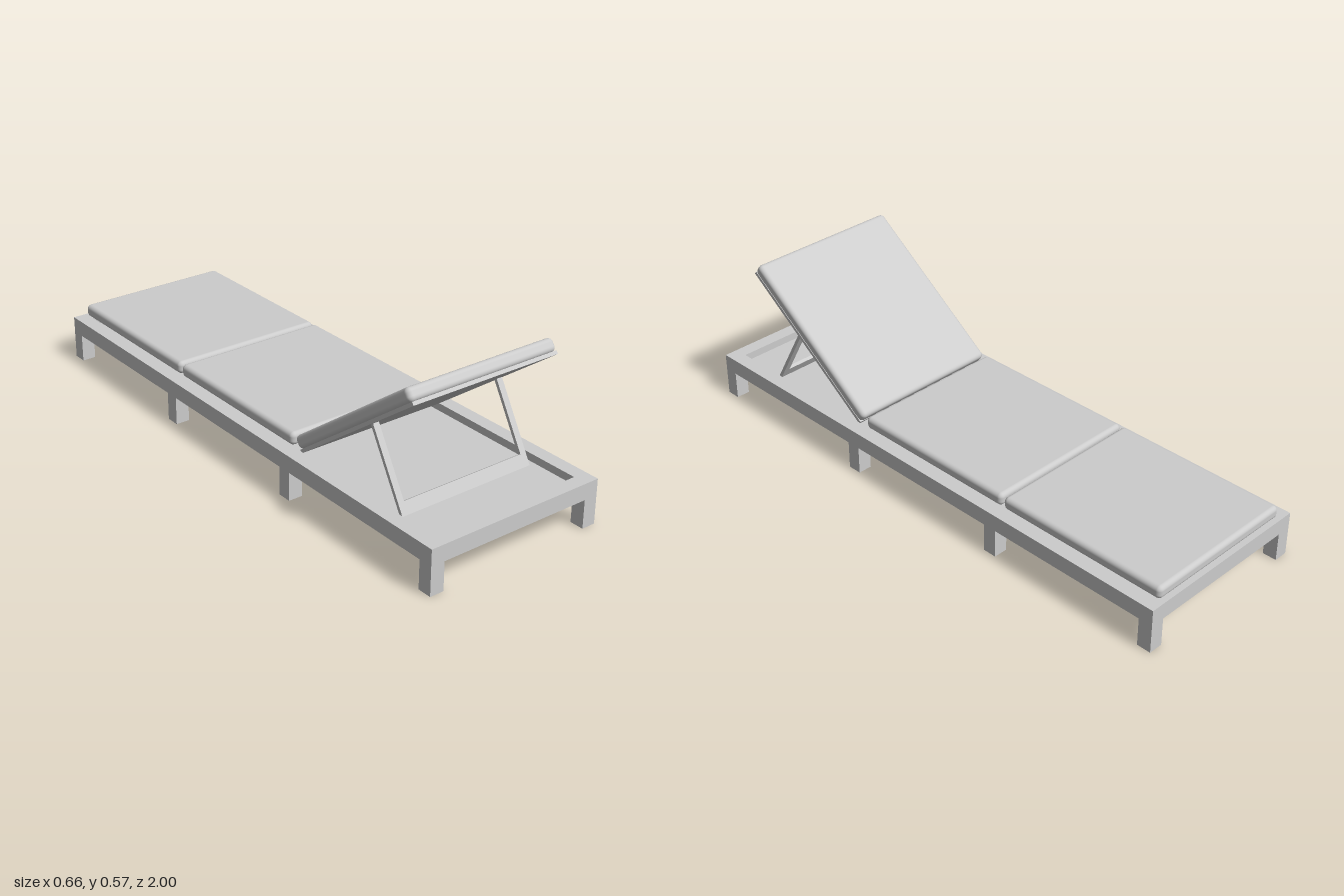
import * as THREE from 'three';
import { RoundedBoxGeometry } from 'three/addons/geometries/RoundedBoxGeometry.js';

const FRAME = { halfX: 0.33, halfZ: 1, bottom: 0.1, top: 0.157, rail: 0.05 };
const DECK_TOP = 0.13;

function rect(path, x0, y0, x1, y1) {
  path.moveTo(x0, y0);
  path.lineTo(x1, y0);
  path.lineTo(x1, y1);
  path.lineTo(x0, y1);
  path.closePath();
  return path;
}

export function createModel() {
  const grey = new THREE.MeshStandardMaterial({ color: 0xcccccc });
  grey.name = 'light grey';
  const model = new THREE.Group();
  model.name = 'sunLounger';

  const add = (name, geometry, x, y, z, parent = model) => {
    const mesh = new THREE.Mesh(geometry, grey);
    mesh.name = name;
    mesh.position.set(x, y, z);
    parent.add(mesh);
    return mesh;
  };

  // Rectangular rail frame around the recessed deck
  const { halfX, halfZ, bottom, top, rail } = FRAME;
  const outline = rect(new THREE.Shape(), -halfX, -halfZ, halfX, halfZ);
  outline.holes.push(rect(new THREE.Path(), -halfX + rail, -halfZ + rail, halfX - rail, halfZ - rail));
  const frame = new THREE.ExtrudeGeometry(outline, { depth: top - bottom, bevelEnabled: false });
  frame.rotateX(-Math.PI / 2);
  add('frame', frame, 0, bottom, 0);
  add('deck', new THREE.BoxGeometry(2 * (halfX - rail), DECK_TOP - bottom, 2 * (halfZ - rail)),
    0, (DECK_TOP + bottom) / 2, 0);

  // Four pairs of square legs
  for (const z of [0.975, 0.305, -0.34, -0.975]) {
    for (const side of [-1, 1]) {
      add('leg', new THREE.BoxGeometry(rail, bottom, rail), side * (halfX - rail / 2), bottom / 2, z);
    }
  }

  // Flat seat and foot cushions
  for (const [name, z] of [['seatCushion', -0.029], ['footCushion', -0.67]]) {
    add(name, new RoundedBoxGeometry(0.57, 0.045, 0.632, 4, 0.016), 0, top + 0.0225, z);
  }

  // Raised backrest, hinged at its lower edge: board with cushion on top
  const backrest = new THREE.Group();
  backrest.name = 'backrest';
  backrest.position.set(0, 0.151, 0.328);
  backrest.rotation.x = -Math.atan2(0.379, 0.522);
  model.add(backrest);
  add('backBoard', new THREE.BoxGeometry(0.56, 0.012, 0.64), 0, 0.006, 0.322, backrest);
  add('backCushion', new RoundedBoxGeometry(0.57, 0.045, 0.645, 4, 0.016), 0, 0.0335, 0.3225, backrest);

  // U-shaped prop leaning from the deck to the underside of the backrest
  const foot = new THREE.Vector2(0.781, DECK_TOP);
  const head = new THREE.Vector2(0.637, 0.381);
  const length = foot.distanceTo(head);
  const prop = new THREE.Shape();
  [[-0.256, 0], [0.256, 0], [0.256, length], [0.234, length], [0.234, 0.042],
    [-0.234, 0.042], [-0.234, length], [-0.256, length]]
    .forEach(([x, y], i) => (i ? prop.lineTo(x, y) : prop.moveTo(x, y)));
  prop.closePath();
  const propGeometry = new THREE.ExtrudeGeometry(prop, { depth: 0.012, bevelEnabled: false });
  propGeometry.translate(0, 0, -0.006);
  const support = add('backrestProp', propGeometry, 0, foot.y, foot.x);
  support.rotation.x = -Math.atan2(foot.x - head.x, head.y - foot.y);

  return model;
}
